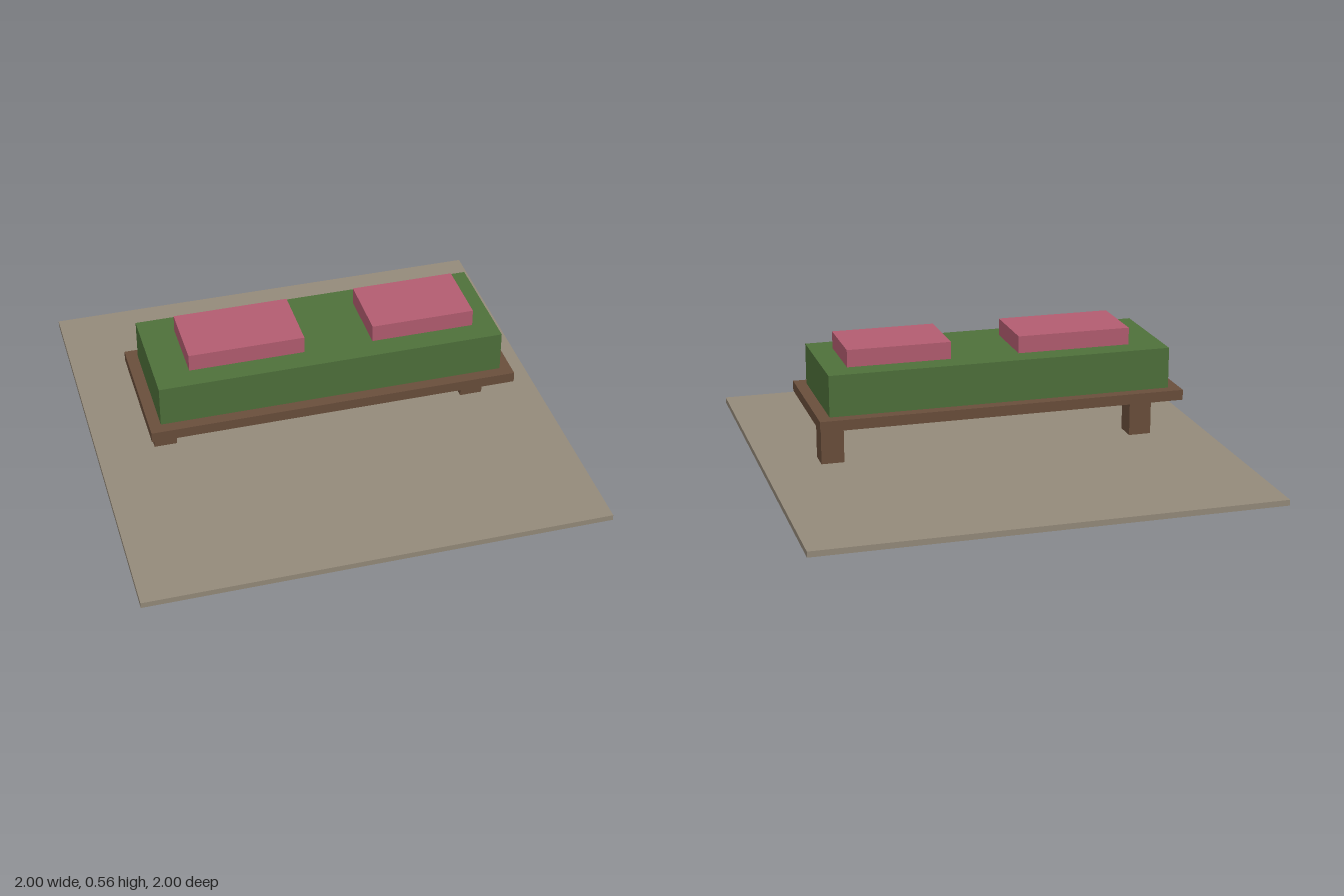
import * as THREE from 'three';

const material = (name, color) => {
  const m = new THREE.MeshStandardMaterial({ color });
  m.name = name;
  return m;
};

export function createModel() {
  const group = new THREE.Group();
  group.name = 'planterBench';
  const stone = material('stone', 0x948a7a);
  const wood = material('wood', 0x694e3b);
  const green = material('leafGreen', 0x4e703a);
  const pink = material('blossomPink', 0xb25c70);

  // Box given by its x, y and z extents
  const box = (name, mat, [x0, x1], [y0, y1], [z0, z1]) => {
    const mesh = new THREE.Mesh(new THREE.BoxGeometry(x1 - x0, y1 - y0, z1 - z0), mat);
    mesh.position.set((x0 + x1) / 2, (y0 + y1) / 2, (z0 + z1) / 2);
    mesh.name = name;
    group.add(mesh);
  };

  // Ground slab
  box('groundSlab', stone, [-1, 1], [0, 0.025], [-1, 1]);

  // Bench: two centred legs under a plank
  box('rightLeg', wood, [-0.75, -0.65], [0.025, 0.255], [-0.05, 0.05]);
  box('leftLeg', wood, [0.65, 0.75], [0.025, 0.255], [-0.05, 0.05]);
  box('plank', wood, [-0.8, 0.8], [0.255, 0.3], [-0.3, 0.3]);

  // Foliage block and the two blossom blocks of unequal length on top
  box('foliage', green, [-0.75, 0.75], [0.3, 0.48], [-0.25, 0.25]);
  box('rightBlossoms', pink, [-0.6, -0.1], [0.48, 0.555], [-0.15, 0.15]);
  box('leftBlossoms', pink, [0.2, 0.65], [0.48, 0.555], [-0.15, 0.15]);

  return group;
}
